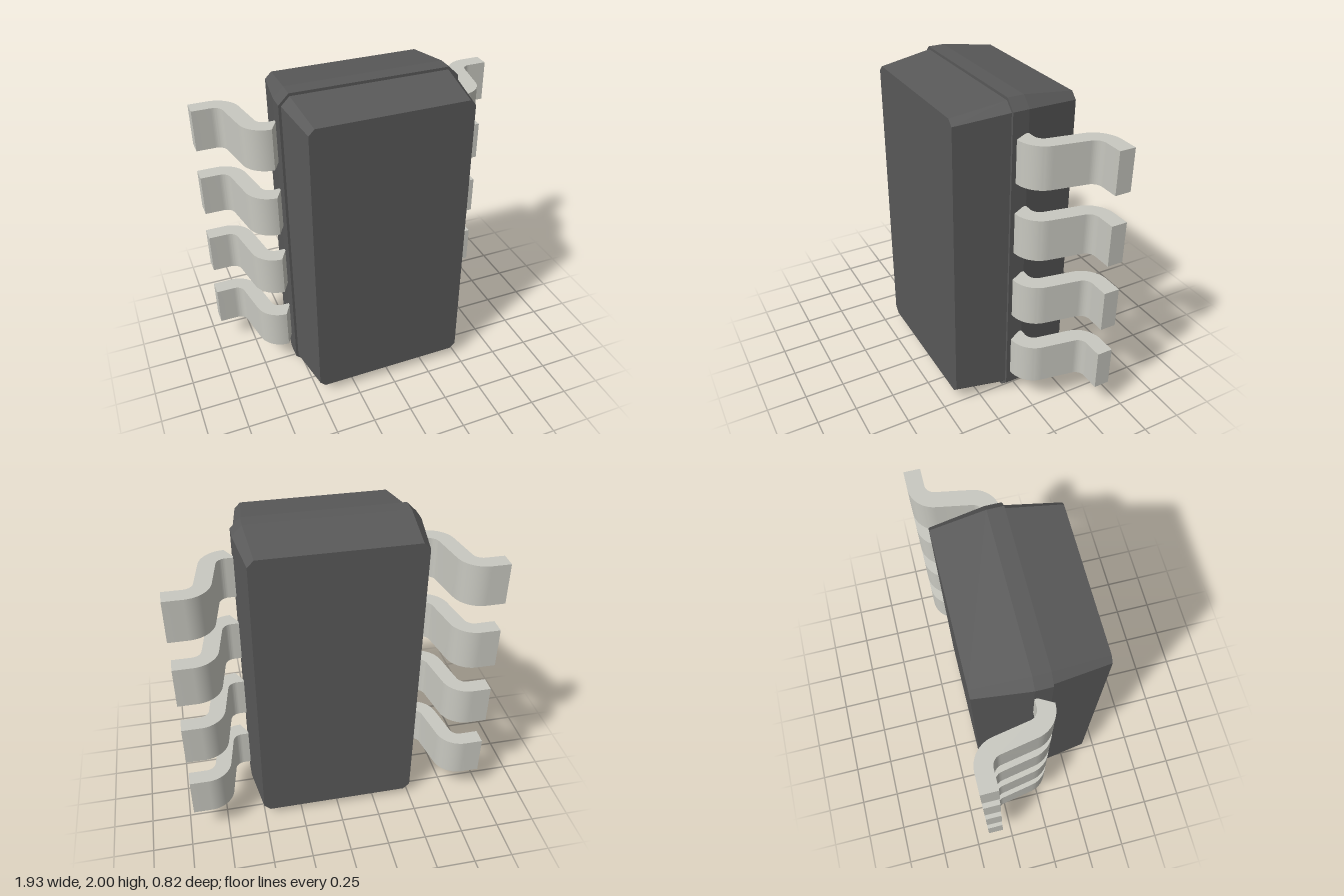
import * as THREE from 'three';
import { toCreasedNormals } from 'three/addons/utils/BufferGeometryUtils.js';

const bodyMaterial = new THREE.MeshStandardMaterial({ color: 0x595959, flatShading: true });
const pinMaterial = new THREE.MeshStandardMaterial({ color: 0xc8c8c0 });

// Corner-cut rectangle, counter-clockwise seen from the front
function octagon([z, w, h, c]) {
  return [
    [w, -h + c], [w, h - c], [w - c, h], [-w + c, h],
    [-w, h - c], [-w, -h + c], [-w + c, -h], [w - c, -h],
  ].map(([x, y]) => [x, y, z]);
}

// Skin a stack of octagons from front to back and close both ends
function loft(sections) {
  const rings = sections.map(octagon);
  const positions = [];
  const tri = (a, b, c) => positions.push(...a, ...b, ...c);
  for (let r = 0; r < rings.length - 1; r++) {
    const f = rings[r], b = rings[r + 1];
    for (let i = 0; i < 8; i++) {
      const j = (i + 1) % 8;
      tri(f[i], b[i], b[j]);
      tri(f[i], b[j], f[j]);
    }
  }
  const front = rings[0], back = rings[rings.length - 1];
  for (let i = 1; i < 7; i++) {
    tri(front[0], front[i], front[i + 1]);
    tri(back[0], back[i + 1], back[i]);
  }
  const geometry = new THREE.BufferGeometry();
  geometry.setAttribute('position', new THREE.Float32BufferAttribute(positions, 3));
  geometry.computeVertexNormals();
  return geometry;
}

// S-bent pin: outline in x and -z, extruded upward and centred on y
function pinGeometry() {
  const inner = 0.06, outer = 0.16, width = 0.26;
  const lean = THREE.MathUtils.degToRad(10), q = Math.PI / 2;
  const near = [0.595, 0.08], far = [0.849, 0.25];
  const shape = new THREE.Shape();
  shape.moveTo(0.54, -0.08);
  shape.absarc(...near, outer, -q, -lean, false);
  shape.absarc(...far, inner, Math.PI - lean, q, true);
  shape.lineTo(0.965, 0.31);
  shape.lineTo(0.965, 0.41);
  shape.absarc(...far, outer, q, Math.PI - lean, false);
  shape.absarc(...near, inner, -lean, -q, true);
  shape.lineTo(0.54, 0.02);
  shape.closePath();
  const geometry = new THREE.ExtrudeGeometry(shape, { depth: width, bevelEnabled: false, curveSegments: 10 });
  geometry.translate(0, 0, -width / 2);
  geometry.rotateX(-Math.PI / 2);
  return toCreasedNormals(geometry, 0.6);
}

export function createModel() {
  const model = new THREE.Group();
  model.name = 'chipPackage';

  // Moulded body: [z, half width, half height, corner cut]
  const body = new THREE.Mesh(loft([
    [0.41, 0.49, 0.935, 0.035],
    [0.08, 0.535, 0.983, 0.052],
    [0.08, 0.55, 1.0, 0.062],
    [-0.02, 0.55, 1.0, 0.062],
    [-0.345, 0.505, 0.955, 0.04],
  ]), bodyMaterial);
  body.name = 'body';
  body.position.y = 1;
  model.add(body);

  // Round orientation mark, nearly flush with the front
  const mark = new THREE.Mesh(new THREE.CircleGeometry(0.08, 32), bodyMaterial);
  mark.name = 'orientationMark';
  mark.position.set(-0.29, 1.72, 0.411);
  model.add(mark);

  // Four pins on each side
  const geometry = pinGeometry();
  for (const side of [1, -1]) {
    const row = new THREE.Group();
    row.name = side > 0 ? 'leftPins' : 'rightPins';
    row.position.set(0, 1, 0.001);
    if (side < 0) row.rotation.z = Math.PI;
    for (let i = 0; i < 4; i++) {
      const pin = new THREE.Mesh(geometry, pinMaterial);
      pin.name = 'pin';
      pin.position.y = (i - 1.5) * 0.449;
      row.add(pin);
    }
    model.add(row);
  }
  return model;
}
